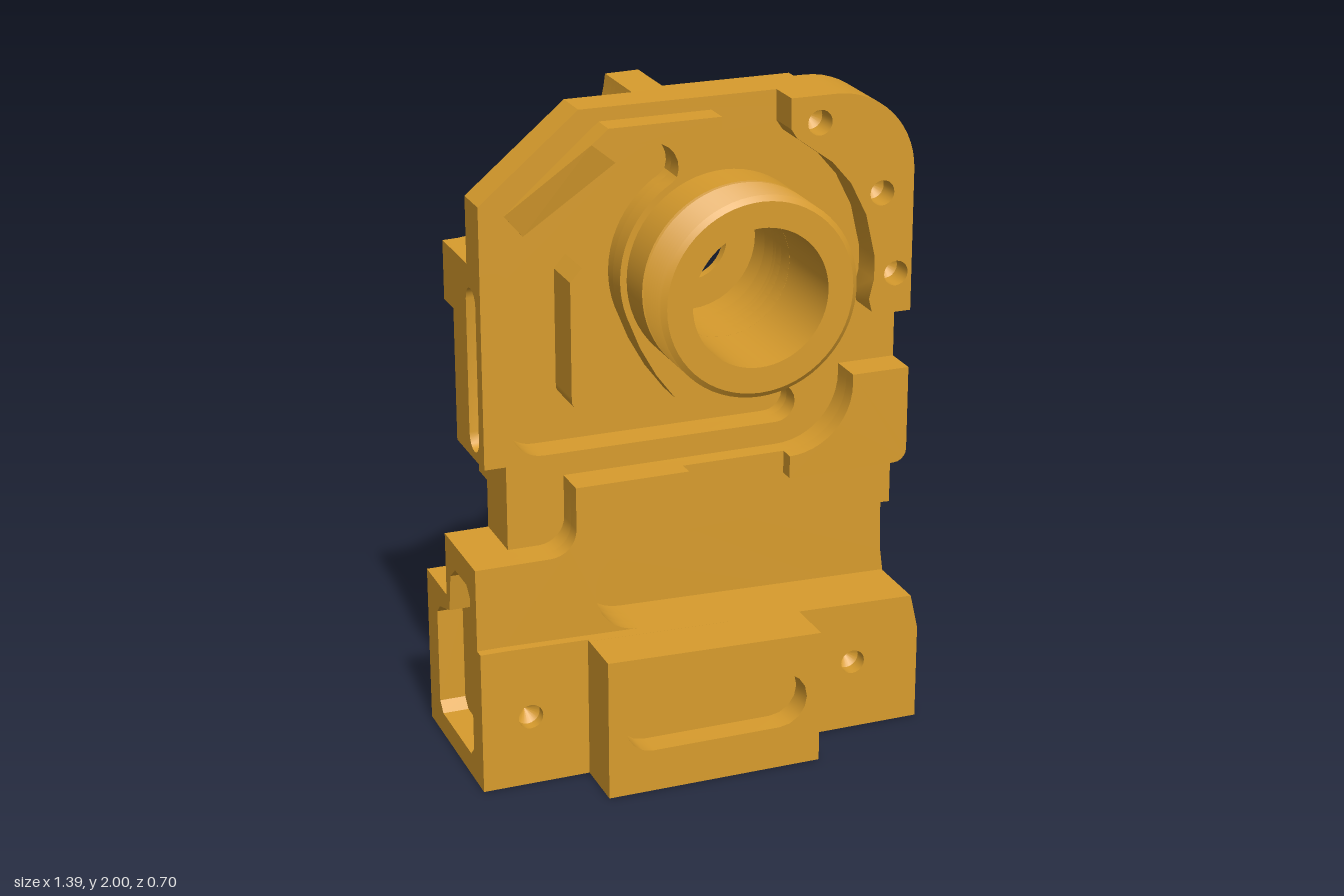
import * as THREE from 'three';
import { toCreasedNormals } from 'three/addons/utils/BufferGeometryUtils.js';

const CX = 0.11, CY = 1.48; // axis of the threaded boss
const rad = Math.PI / 180;

// sampled arc, angles in degrees
function arc(cx, cy, r, a0, a1, n = 14) {
  return Array.from({ length: n + 1 }, (_, i) => {
    const a = (a0 + (a1 - a0) * i / n) * rad;
    return [cx + r * Math.cos(a), cy + r * Math.sin(a)];
  });
}
const circle = (x, y, r, n = 40) => arc(x, y, r, 0, 360, n).slice(0, -1);

// round-ended slot between two points
function slot(x1, y1, x2, y2, r) {
  const a = Math.atan2(y2 - y1, x2 - x1) / rad;
  return [...arc(x2, y2, r, a - 90, a + 90, 8), ...arc(x1, y1, r, a + 90, a + 270, 8)];
}

function toShape(points, holes = []) {
  const v = (list) => list.map(([x, y]) => new THREE.Vector2(x, y));
  const s = new THREE.Shape(v(points));
  for (const h of holes) s.holes.push(new THREE.Path(v(h)));
  return s;
}

export function createModel() {
  const group = new THREE.Group();
  const brass = new THREE.MeshStandardMaterial({ color: 0xd89c2d });
  brass.name = 'golden ochre';

  function add(name, geometry) {
    const mesh = new THREE.Mesh(geometry, brass);
    mesh.name = name;
    group.add(mesh);
    return mesh;
  }
  const extrude = (points, depth, holes) => new THREE.ExtrudeGeometry(
    toShape(points, holes), { depth, bevelEnabled: false, steps: 1 });
  // layer of the body between two z values
  function layer(name, z0, z1, points, holes) {
    return add(name, toCreasedNormals(extrude(points, z1 - z0, holes).translate(0, 0, z0), 0.5));
  }
  // slab facing sideways; points are (-z, y)
  function sideSlab(name, x0, x1, points, holes) {
    const g = extrude(points, x1 - x0, holes).rotateY(Math.PI / 2).translate(x0, 0, 0);
    return add(name, toCreasedNormals(g, 0.5));
  }
  // conical bottom of a drilled hole
  function drillPoint(x, y, z) {
    const cone = new THREE.LatheGeometry([new THREE.Vector2(0.038, 0.035), new THREE.Vector2(0, 0.002)], 20);
    add('drillPoint', cone.rotateX(Math.PI / 2)).position.set(x, y, z);
  }

  // shared outline pieces, anticlockwise seen from the front
  const baseRight = [[-0.62, 0.05], [0.695, 0.05], [0.695, 0.3]];
  const lowRight = [...baseRight, [0.675, 0.39], [0.663, 0.48], [0.66, 0.56]];
  const lowLeft = [[-0.63, 1.55], [-0.58, 1.55], [-0.58, 0.96], [-0.565, 0.96], [-0.565, 0.7], [-0.62, 0.7]];
  const topFull = [...arc(0.41, 1.75, 0.25, 0, 90), [-0.33, 2], [-0.63, 1.75]];
  const scoop = [[-0.02, 2], ...arc(-0.62, 2.05, 0.5, -6, -90, 20), [-0.63, 1.55]];
  const topMid = [[0.66, 1.71], [0.53, 1.71], [0.53, 1.87], [0.42, 1.97], [-0.02, 1.97], ...scoop];
  const cornerStep = [[0.66, 1.53], [0.46, 1.53], [0.46, 1.77], [0.33, 1.89], [-0.02, 1.89]];
  const backLow = [[-0.63, 1.37], [-0.44, 1.36], [-0.42, 1.3], [-0.39, 1.14], [-0.33, 1.05], [-0.25, 1.0],
    [-0.16, 0.96], [-0.12, 0.9], [-0.1, 0.8], [-0.04, 0.74], [0.06, 0.74], [0.12, 0.8], [0.15, 0.87],
    [0.25, 0.91], [0.51, 1.06], [0.66, 1.06]];
  // wider step between the back plate and the body
  const stepLow = [[-0.63, 0.96], [-0.565, 0.96], [-0.565, 0.85], ...arc(-0.3, 0.82, 0.03, 90, 0, 5), [-0.27, 0.74],
    [0.17, 0.74], ...arc(0.17, 0.79, 0.05, -80, 0, 5), [0.24, 0.86], [0.3, 0.9], [0.33, 1.06], [0.66, 1.06]];
  const bore = circle(CX, CY, 0.115), wideBore = circle(CX, CY, 0.207);

  // raised corner on the back, curved round the hub
  layer('backCornerPad', -0.345, -0.31, [[0.66, 1.38], ...cornerStep, ...arc(CX, CY, 0.34, 112.5, -17, 24)]);

  // back plate with a two-armed hub recess and radial slots
  const polar = (deg, r) => [CX + Math.cos(deg * rad) * r, CY + Math.sin(deg * rad) * r];
  const rays = [188, 211, 232, 254, 279].map((d) => slot(...polar(d, 0.23), ...polar(d, 0.45), 0.027));
  const arm = (d) => arc(...polar(d, 0.32), 0.055, d - 90, d + 90, 8);
  const hub = [...arm(130), ...arc(CX, CY, 0.155, 152, 281, 16), ...arm(303), ...arc(CX, CY, 0.155, 325, 468, 16)];
  const backTop = [...backLow, ...cornerStep, ...scoop];
  layer('backPlate', -0.31, -0.25, backTop, [hub, ...rays]);
  layer('backWall', -0.25, -0.22, backTop, [bore]);
  layer('backStep', -0.22, -0.145, [...stepLow, ...topMid], [wideBore]);

  // main body
  layer('bodyRear', -0.145, -0.08, [...lowRight, ...topMid, ...lowLeft], [wideBore]);
  layer('bodyCore', -0.08, -0.06, [...lowRight, ...topFull, ...lowLeft], [wideBore]);
  const pocket = [[-0.55, 1.53], [-0.2, 1.84], ...arc(-0.11, 1.8, 0.08, 120, -20, 8),
    ...arc(CX, CY, 0.32, 120, 205, 16), [-0.15, 1.27], [-0.1, 1.18], [-0.04, 1.1],
    ...arc(0.28, 1.04, 0.06, 90, -90, 10), ...arc(-0.45, 1.08, 0.1, 270, 180, 8)];
  layer('bodyPocketFloor', -0.06, -0.02, [...lowRight, ...topFull, ...lowLeft], [pocket, wideBore]);
  const slotEnd = arc(-0.2, 0.5668, 0.1332, 270, 90, 16);
  layer('bodyFront', -0.02, 0.04,
    [...baseRight, [0.67, 0.41], ...slotEnd, [0.66, 0.665], ...topFull, ...lowLeft], [pocket, wideBore]);

  // side wall with its long slot
  sideSlab('sideWall', -0.63, -0.58, [[-0.04, 0.96], [0.145, 0.96], [0.145, 1.55], [-0.04, 1.55]],
    [slot(0.05, 1.03, 0.05, 1.44, 0.045)]);

  // curved flange with three screw holes
  const flange = [[0.27, 2], [0.27, 1.91], [0.29, 1.88], [0.4, 1.8], [0.46, 1.73], [0.51, 1.63], [0.54, 1.5],
    [0.54, 1.43], [0.525, 1.37], [0.535, 1.33], [0.56, 1.32], [0.66, 1.32], ...arc(0.41, 1.75, 0.25, 0, 90)];
  const screws = [[0.36, 1.92], [0.56, 1.69], [0.61, 1.44]];
  layer('screwFlange', 0.04, 0.148, flange, screws.map(([x, y]) => circle(x, y, 0.038, 20)));
  for (const [x, y] of screws) drillPoint(x, y, 0.04);

  // lower front block, stepped in depth
  const leftTop = [[-0.62, 0.445], ...slotEnd];
  const leftEdge = [[-0.39, 0.91], ...arc(-0.47, 0.78, 0.08, 0, -90, 8), [-0.62, 0.7]];
  const lugTop = [...arc(0.62, 0.88, 0.04, -90, 0, 5), [0.66, 1.14], [0.48, 1.14],
    ...arc(0.28, 1.11, 0.2, 0, -90, 12)];
  layer('lowerBlock', 0.04, 0.1, [...leftTop, [0.1, 0.69], [0.14, 0.71], [0.17, 0.76], [0.19, 0.8], [0.23, 0.83],
    [0.28, 0.84], ...lugTop, ...leftEdge]);
  layer('lowerBlockFace', 0.1, 0.148, [...leftTop, [-0.04, 0.695], [-0.04, 0.91], ...leftEdge]);
  layer('lowerLug', 0.1, 0.148, [[0.28, 0.84], ...lugTop]);

  // base: back pocket, solid middle, front with screw holes
  const baseBack = [...baseRight, [0.675, 0.39], [0.663, 0.5], [-0.62, 0.5]];
  const backPocket = [[0.17, 0.24], ...arc(0.46, 0.325, 0.085, -90, 90, 10), ...arc(-0.41, 0.325, 0.085, 90, 270, 10),
    [-0.28, 0.24], ...arc(-0.25, 0.11, 0.03, 180, 270, 4), [0.17, 0.08]];
  layer('baseBack', -0.347, -0.24, baseBack, [backPocket]);
  layer('baseMiddle', -0.24, -0.145, baseBack);
  layer('baseFrontInner', 0.04, 0.11, [...baseRight, [0.67, 0.41], [-0.62, 0.445]]);
  layer('baseFrontLeft', 0.11, 0.178, [[-0.62, 0.05], [-0.36, 0.05], [-0.36, 0.438], [-0.62, 0.445]],
    [circle(-0.55, 0.22, 0.038, 20)]);
  layer('baseFrontRight', 0.11, 0.19, [[-0.36, 0.05], ...baseRight.slice(1), [0.67, 0.41], [-0.36, 0.438]],
    [circle(0.48, 0.22, 0.038, 20)]);
  for (const x of [-0.55, 0.48]) drillPoint(x, 0.22, 0.11);
  const box = [[-0.37, 0.05], [0.3, 0.05], [0.3, 0.42], [-0.37, 0.438]];
  layer('frontBoxInner', 0.178, 0.27, box);
  layer('frontBox', 0.27, 0.35, box, [slot(-0.23, 0.22, 0.17, 0.22, 0.088)]);

  // base end with its tall pocket
  sideSlab('baseEnd', -0.7, -0.62, [[-0.178, 0], [0.347, 0], [0.347, 0.5], [0.145, 0.5], [0.145, 0.7],
    [-0.148, 0.7], [-0.148, 0.445], [-0.178, 0.445]],
  [[[-0.06, 0.07], [0.22, 0.07], [0.25, 0.1], [0.25, 0.4], [0.22, 0.43], [0.12, 0.46], [0.1, 0.58], [0.05, 0.62],
    [-0.06, 0.62], [-0.09, 0.59], [-0.09, 0.1]]]);

  // underside with engraved grooves; points are (x, -z)
  const grooves = [-0.48, -0.2, 0.08, 0.36].flatMap((x) => [
    slot(x, 0.28, x + 0.17, 0.14, 0.032), slot(x - 0.04, 0.11, x + 0.07, 0.02, 0.03)]);
  const frontGroove = [[-0.32, -0.07], [0.25, -0.07], [0.25, -0.12], [0.12, -0.28], [-0.2, -0.28], [-0.32, -0.12]];
  const island = [[-0.26, -0.11], [0.19, -0.11], [0.09, -0.235], [-0.17, -0.235]];
  const floor = [[-0.62, -0.178], [-0.37, -0.178], [-0.37, -0.35], [0.3, -0.35], [0.3, -0.19],
    [0.695, -0.19], [0.695, 0.347], [-0.62, 0.347]];
  const down = (pts, holes) => toCreasedNormals(extrude(pts, 0.05, holes).rotateX(-Math.PI / 2), 0.5);
  add('underside', down(floor, [...grooves, frontGroove]));
  add('undersideIsland', down(island));

  // threaded boss
  const profile = [[0.207, -0.06], [0.3, -0.06], [0.3, 0.165]];
  for (let i = 0; i < 8; i++) {
    const z = 0.17 + i * 0.0185;
    profile.push([0.282, z], [0.3, z + 0.009]);
  }
  profile.push([0.284, 0.32], [0.207, 0.32], [0.207, -0.06]);
  const boss = new THREE.LatheGeometry(profile.map(([r, z]) => new THREE.Vector2(r, z)), 64);
  add('threadedBoss', toCreasedNormals(boss.rotateX(Math.PI / 2).translate(CX, CY, 0), 0.5));

  // raised ridge whose sloping end follows the chamfer
  layer('topRidge', 0.04, 0.12, [[-0.2, 1.905], [0.07, 1.905], [0.07, 1.96], [-0.27, 1.96], [-0.32, 1.918], [-0.25, 1.86]]);
  const ramp = extrude([[-0.5, 1.65], [-0.25, 1.86], [-0.32, 1.918], [-0.555, 1.715]], 0.08);
  const p = ramp.attributes.position;
  for (let i = 0; i < p.count; i++) {
    const t = THREE.MathUtils.clamp((p.getX(i) + 0.555 + (p.getY(i) - 1.715) * 0.85) / 0.41, 0.02, 1);
    p.setZ(i, 0.04 + p.getZ(i) * t);
  }
  ramp.computeVertexNormals();
  add('ridgeRamp', ramp);

  // thin rib standing in the front pocket
  layer('pocketRib', -0.06, 0.08, [[-0.375, 1.16], ...arc(-0.35, 1.15, 0.025, 180, 360, 8), [-0.325, 1.17],
    [-0.35, 1.2], [-0.35, 1.48], [-0.32, 1.53], [-0.34, 1.55], [-0.375, 1.51]]);

  // round and hexagonal pegs on the back
  for (const [name, x, sides] of [['roundPeg', 0.43, 32], ['hexPeg', -0.46, 6]]) {
    const peg = new THREE.CylinderGeometry(0.056, 0.056, 0.15, sides).rotateX(Math.PI / 2);
    add(name, toCreasedNormals(peg, 0.5)).position.set(x, 0.68, -0.214);
  }
  return group;
}
